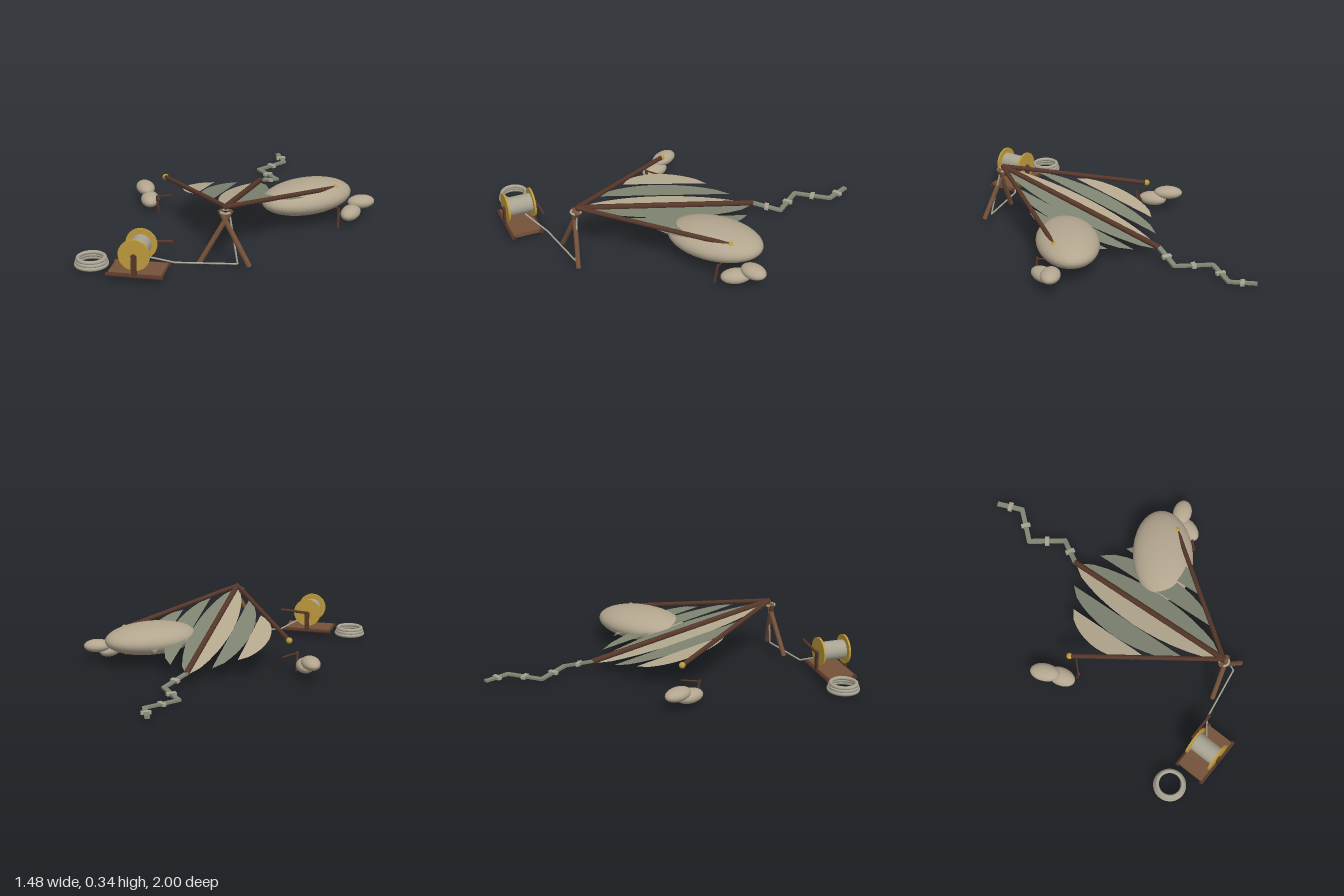
import * as THREE from 'three';

const mat = (name, color, extra = {}) => {
  const m = new THREE.MeshStandardMaterial({ color, ...extra });
  m.name = name;
  return m;
};
const V = (x, y, z) => new THREE.Vector3(x, y, z);

export function createModel() {
  const root = new THREE.Group();
  root.name = 'groundedKite';
  const darkWood = mat('dark wood', 0x56372a);
  const wood = mat('wood', 0x75523a);
  const tan = mat('pale cloth', 0xb5a98f, { side: THREE.DoubleSide });
  const grey = mat('grey cloth', 0x7f8472, { side: THREE.DoubleSide });
  const sack = mat('canvas and stone', 0xb3a68f);
  const gold = mat('brass', 0xbd9a3c);
  const rope = mat('rope', 0xa8a391);

  const add = (name, geo, material, pos, parent = root) => {
    const m = new THREE.Mesh(geo, material);
    m.name = name;
    if (pos) m.position.copy(pos);
    parent.add(m);
    return m;
  };
  // Round rod between two points
  const rod = (name, a, b, r, material, sides = 10) => {
    const d = b.clone().sub(a);
    const m = add(name, new THREE.CylinderGeometry(r, r, d.length(), sides), material, a.clone().lerp(b, 0.5));
    m.quaternion.setFromUnitVectors(V(0, 1, 0), d.normalize());
    return m;
  };
  const ellipsoid = (name, pos, size, angle) => {
    const m = add(name, new THREE.SphereGeometry(1, 32, 20), sack, pos);
    m.scale.set(...size);
    m.rotation.y = THREE.MathUtils.degToRad(angle);
    return m;
  };

  // Spars meeting at the raised nose
  const cx = 0.03;
  const nose = V(cx, 0.325, 0.69);
  rod('centreSpar', nose, V(cx, 0.075, -0.38), 0.016, darkWood);
  for (const s of [1, -1]) {
    const tip = V(cx + s * 0.49, 0.2, -0.01);
    rod('sideSpar', nose, tip, 0.013, darkWood);
    add('sparTip', new THREE.SphereGeometry(0.018, 16, 12), gold, tip);
  }

  // Sail strips: straight inner edge, bowed outer edge, lying on the sloping sail plane
  const backZ = [-0.375, -0.29, -0.19];
  const noseZ = [0.67, 0.51, 0.33];
  for (const s of [1, -1]) {
    for (let i = 0; i < 3; i++) {
      const pos = [], index = [], n = 12;
      for (let j = 0; j <= n; j++) {
        const t = j / n;
        const z = THREE.MathUtils.lerp(backZ[i], noseZ[i], t);
        const bow = 0.118 * Math.pow(Math.sin(Math.PI * t), 0.6);
        const y = 0.318 - 0.24 * (0.69 - z) + i * 0.005;
        pos.push(cx + s * i * 0.12, y, z, cx + s * (i * 0.12 + bow), y, z);
        if (j < n) {
          const k = j * 2;
          index.push(...(s > 0 ? [k, k + 2, k + 1, k + 1, k + 2, k + 3] : [k, k + 1, k + 2, k + 1, k + 3, k + 2]));
        }
      }
      const g = new THREE.BufferGeometry();
      g.setAttribute('position', new THREE.Float32BufferAttribute(pos, 3));
      g.setIndex(index);
      g.computeVertexNormals();
      add('sailStrip', g, s < 0 && i % 2 === 0 ? tan : grey);
    }
  }

  // Crossed legs under the nose, with lashing
  for (const s of [1, -1]) rod('standLeg', V(cx + s * 0.133, 0.02, 0.74), V(cx - s * 0.03, 0.31, 0.695), 0.014, wood);
  const lash = add('lashing', new THREE.TorusGeometry(0.027, 0.007, 8, 20), rope, V(cx, 0.3, 0.695));
  lash.rotation.x = Math.PI / 2;

  // Zigzag tail with bows
  const tail = [V(0.03, 0.075, -0.38), V(0.11, 0.033, -0.525), V(-0.025, 0.028, -0.69), V(0.105, 0.028, -0.855), V(0.045, 0.028, -0.99)];
  for (let i = 0; i < 4; i++) {
    const a = tail[i], b = tail[i + 1], mid = a.clone().lerp(b, 0.5);
    const seg = add('tailRibbon', new THREE.BoxGeometry(0.028, 0.012, a.distanceTo(b) + 0.012), grey, mid);
    seg.lookAt(b);
    const bow = add('tailBow', new THREE.BoxGeometry(0.055, 0.016, 0.024), rope, mid);
    bow.lookAt(b);
  }

  // Slumped sack, weight stones and ground pegs
  ellipsoid('sack', V(0.363, 0.148, 0.01), [0.28, 0.09, 0.175], 41);
  ellipsoid('stone', V(0.665, 0.1, -0.08), [0.078, 0.037, 0.055], 25);
  ellipsoid('stone', V(0.615, 0.06, 0), [0.085, 0.04, 0.052], 75);
  ellipsoid('stone', V(-0.6, 0.1, -0.08), [0.085, 0.037, 0.052], -63);
  ellipsoid('stone', V(-0.553, 0.06, 0), [0.083, 0.04, 0.053], -75);
  for (const [x, z, s] of [[0.555, 0.1, -1], [-0.49, 0.06, 1]]) {
    const top = V(x, 0.115, 0.08);
    rod('groundPeg', V(x, 0.003, z), top, 0.008, darkWood, 8);
    rod('pegArm', V(x, 0.108, 0.075), V(x + s * 0.07, 0.095, 0), 0.005, darkWood, 8);
  }

  // Winch base
  const wx = -0.387, wz = 0.904;
  add('winchBase', new THREE.BoxGeometry(0.28, 0.022, 0.16), wood, V(wx, 0.035, wz));
  for (const s of [1, -1]) {
    const z = wz + s * 0.083;
    rod('baseRail', V(wx - 0.15, 0.033, z), V(wx + 0.15, 0.033, z), 0.012, darkWood);
    add('winchPost', new THREE.BoxGeometry(0.028, 0.11, 0.012), darkWood, V(wx, 0.095, wz + s * 0.088));
    rod('reelDisc', V(wx, 0.147, wz + s * 0.071), V(wx, 0.147, wz + s * 0.082), 0.084, gold, 32);
  }
  // Reel drum with wound line, and crank
  rod('reelDrum', V(wx, 0.147, wz - 0.071), V(wx, 0.147, wz + 0.071), 0.054, rope, 28);
  rod('reelAxle', V(wx, 0.147, wz - 0.097), V(wx, 0.147, wz + 0.095), 0.009, darkWood);
  rod('crankArm', V(wx, 0.15, 0.806), V(-0.225, 0.16, 0.806), 0.008, darkWood);

  // Line from reel along the ground and up to the nose
  const line = [V(-0.35, 0.1, 0.88), V(-0.22, 0.035, 0.79), V(0.1, 0.028, 0.735), V(0.05, 0.3, 0.695)];
  for (let i = 0; i < 3; i++) rod('line', line[i], line[i + 1], 0.005, rope, 8);

  // Spare rope coil
  for (let i = 0; i < 3; i++) {
    const coil = add('ropeCoil', new THREE.TorusGeometry(0.081 - i * 0.005, 0.011, 10, 32), rope, V(-0.65, 0.028 + i * 0.016, 0.86));
    coil.rotation.x = Math.PI / 2;
  }
  return root;
}
